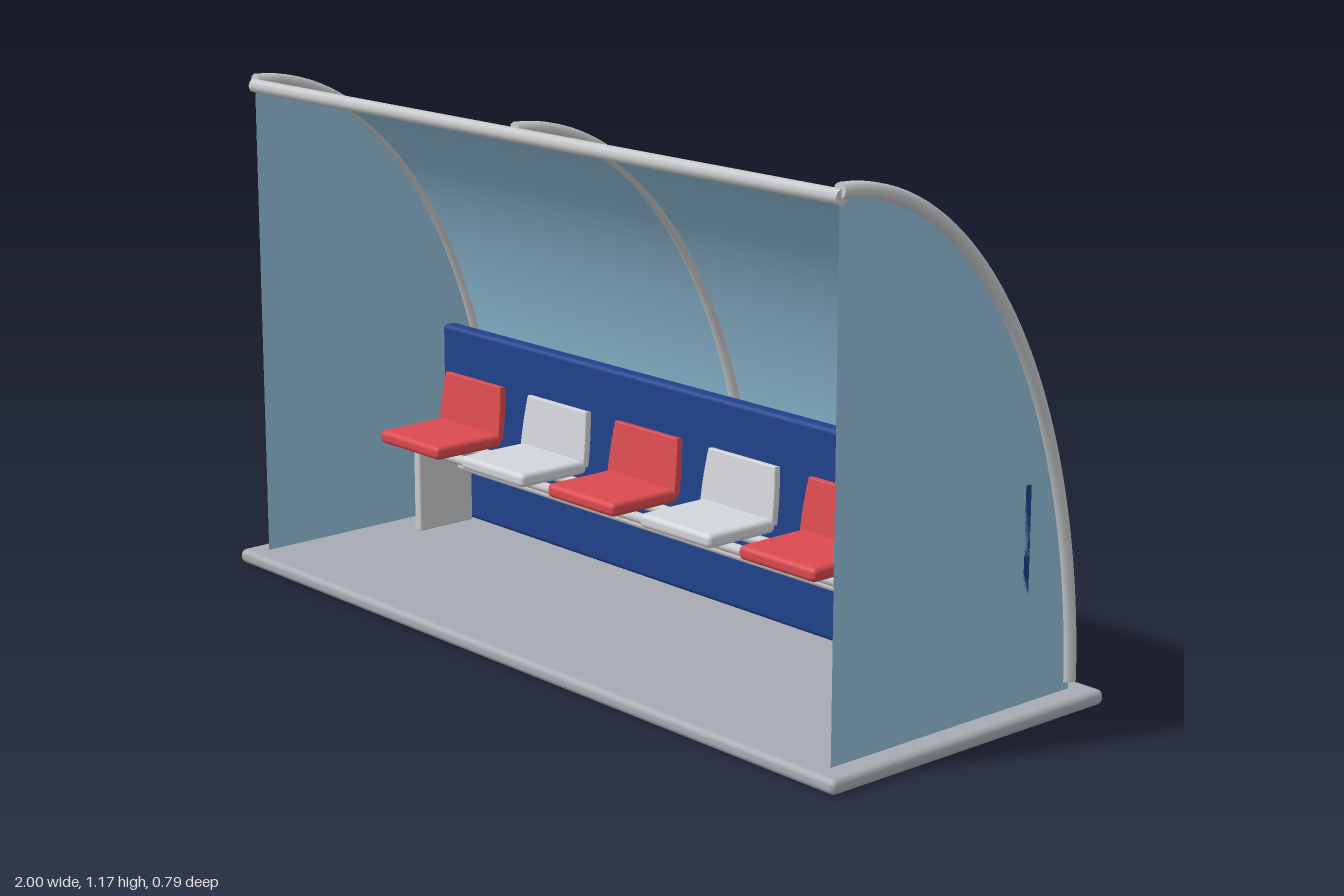
import * as THREE from 'three';
import { RoundedBoxGeometry } from 'three/addons/geometries/RoundedBoxGeometry.js';

const mat = (name, color, side = THREE.FrontSide) => {
  const m = new THREE.MeshStandardMaterial({ color, side });
  m.name = name;
  return m;
};

// Quarter ellipse of the canopy: t = 0 at the front top, 1 at the rear foot
const FRONT_Z = 0.345, FOOT_Y = 0.03, DEPTH = 0.685, RISE = 1.11;
const arcPoint = (t, rise = RISE) => {
  const a = t * Math.PI / 2;
  return [FOOT_Y + rise * Math.cos(a), FRONT_Z - DEPTH * Math.sin(a)];
};

export function createModel() {
  const model = new THREE.Group();
  model.name = 'shelter';
  const glass = mat('blue panel', 0x93c1dc, THREE.DoubleSide);
  const steel = mat('light steel', 0xc9cacc);
  const floor = mat('grey floor', 0xa8abb3);
  const navy = mat('navy board', 0x20418c);
  const red = mat('red seat', 0xdc4a50);
  const white = mat('white seat', 0xd2d5d9);

  const add = (parent, name, geo, material, x = 0, y = 0, z = 0) => {
    const m = new THREE.Mesh(geo, material);
    m.name = name;
    m.position.set(x, y, z);
    parent.add(m);
    return m;
  };
  const box = (w, h, d, r) => new RoundedBoxGeometry(w, h, d, 3, r);
  const rail = (name, r, len, y, z, sides = 12) => {
    const g = new THREE.CylinderGeometry(r, r, len, sides);
    g.rotateZ(Math.PI / 2);
    return add(model, name, g, steel, 0, y, z);
  };

  // Floor slab
  add(model, 'floorSlab', box(2, 0.033, 0.785, 0.014), floor, 0, 0.0165, 0);

  // Curved canopy sheet
  const sheet = new THREE.PlaneGeometry(1.89, 1, 1, 48);
  const p = sheet.attributes.position;
  for (let i = 0; i < p.count; i++) {
    const [y, z] = arcPoint(p.getY(i) + 0.5);
    p.setXYZ(i, p.getX(i), y, z);
  }
  sheet.computeVertexNormals();
  add(model, 'canopySheet', sheet, glass);

  // Flat side panels
  const outline = new THREE.Shape();
  outline.moveTo(-FRONT_Z, FOOT_Y);
  for (let i = 0; i <= 48; i++) {
    const [y, z] = arcPoint(i / 48);
    outline.lineTo(-z, y);
  }
  const panel = new THREE.ShapeGeometry(outline);
  panel.rotateY(Math.PI / 2);
  for (const s of [-1, 1]) {
    add(model, s > 0 ? 'leftPanel' : 'rightPanel', panel, glass, s * 0.945);
  }

  // Three arched ribs with closed ends
  const ribPoints = [];
  for (let i = 0; i <= 24; i++) {
    const [y, z] = arcPoint(i / 24 * 0.988, 1.122);
    ribPoints.push(new THREE.Vector3(0, y, z));
  }
  const ribCurve = new THREE.CatmullRomCurve3(ribPoints);
  const ribGeo = new THREE.TubeGeometry(ribCurve, 48, 0.016, 10);
  const cap = new THREE.CircleGeometry(0.016, 10);
  for (const x of [-0.945, 0, 0.945]) {
    const rib = new THREE.Group();
    rib.name = 'archRib';
    rib.position.x = x;
    add(rib, 'ribTube', ribGeo, steel);
    for (const end of [0, 1]) {
      const c = add(rib, 'ribCap', cap, steel);
      c.position.copy(ribCurve.getPoint(end));
      const dir = ribCurve.getTangent(end).multiplyScalar(end ? 1 : -1);
      c.quaternion.setFromUnitVectors(new THREE.Vector3(0, 0, 1), dir);
    }
    model.add(rib);
  }

  // Front edge bar
  rail('frontBar', 0.016, 1.9, 1.14, 0.344, 8);

  // Board behind the bench
  add(model, 'backBoard', box(1.89, 0.472, 0.04, 0.012), navy, 0, 0.269, -0.2);

  // Bench frame
  rail('seatRail', 0.012, 1.8, 0.24, -0.03);
  rail('seatRail', 0.012, 1.8, 0.24, -0.11);
  rail('lowerRail', 0.01, 1.84, 0.175, -0.145);
  for (const s of [-1, 1]) {
    add(model, 'benchLeg', box(0.025, 0.22, 0.16, 0.006), steel, s * 0.845, 0.14, -0.1);
  }

  // Seats: rounded pad and a slightly tapered, tilted backrest
  const back = new THREE.Shape();
  back.moveTo(-0.113, 0);
  back.lineTo(0.113, 0);
  back.quadraticCurveTo(0.113, 0.06, 0.104, 0.122);
  back.lineTo(-0.104, 0.122);
  back.quadraticCurveTo(-0.113, 0.06, -0.113, 0);
  const backGeo = new THREE.ExtrudeGeometry(back, {
    depth: 0.012, bevelEnabled: true, bevelSize: 0.003, bevelThickness: 0.003, bevelSegments: 2,
  });
  const padGeo = box(0.23, 0.032, 0.195, 0.012);
  for (let i = 0; i < 6; i++) {
    const seat = new THREE.Group();
    seat.name = 'seat';
    seat.position.set((i - 2.5) * 0.316, 0.268, 0);
    const color = i % 2 ? white : red;
    add(seat, 'seatPad', padGeo, color, 0, 0, -0.052);
    add(seat, 'seatBack', backGeo, color, 0, 0.004, -0.15).rotation.x = -0.13;
    model.add(seat);
  }
  return model;
}
